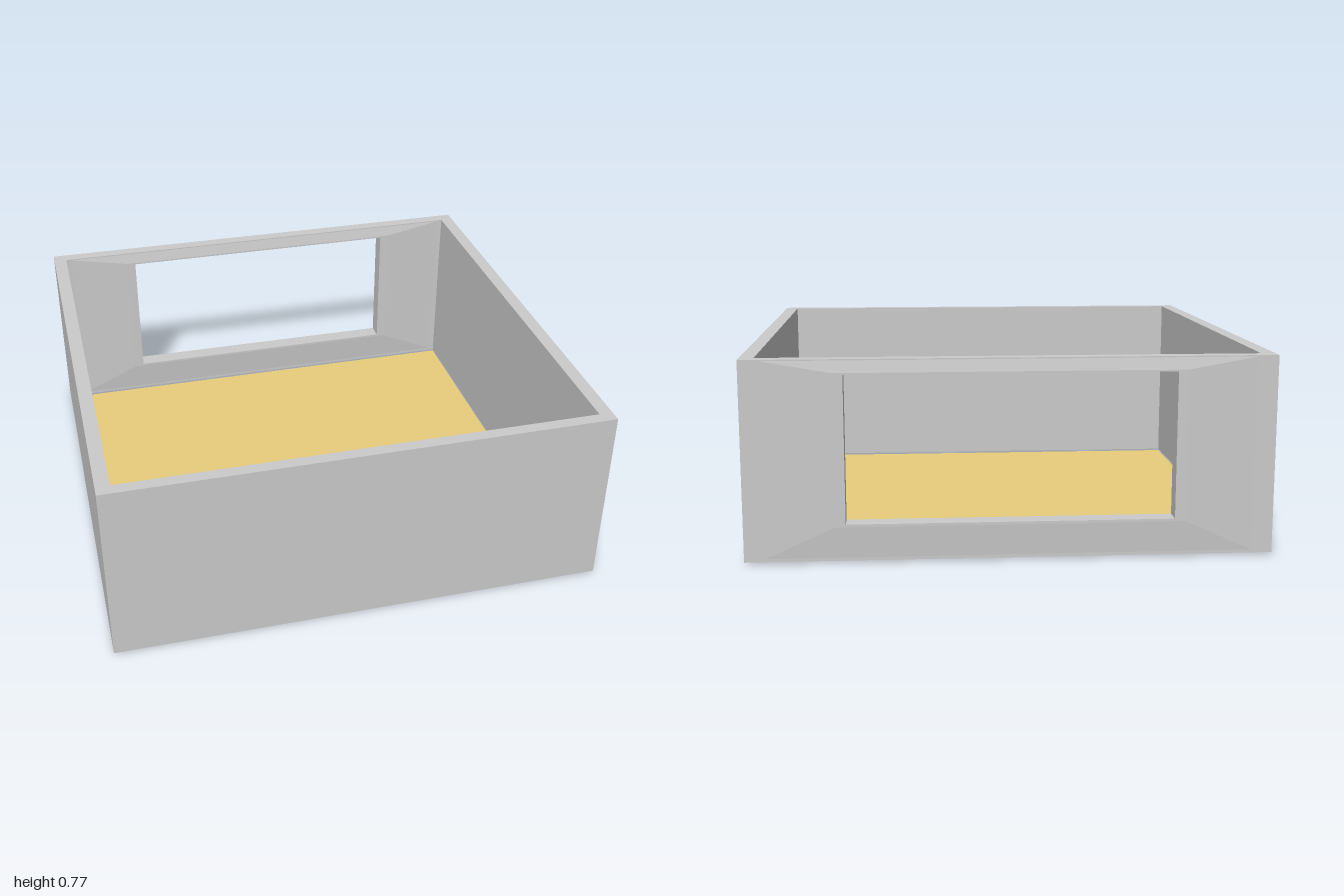
import * as THREE from 'three';

const BOTTOM = 0.008, TOP = 0.77;
const FRONT = 0.977, BACK_OUT = -0.967, BACK_IN = -0.915;

// Closed loft through rectangles [halfWidth, y0, y1, z], forming a frame around an opening
function frameGeometry(rings) {
  const corner = ([w, y0, y1, z], j) => [
    [-w, y0, z], [w, y0, z], [w, y1, z], [-w, y1, z],
  ][j % 4];
  const positions = [];
  rings.forEach((ring, i) => {
    const next = rings[(i + 1) % rings.length];
    for (let j = 0; j < 4; j++) {
      const a = corner(ring, j), b = corner(next, j);
      const c = corner(next, j + 1), d = corner(ring, j + 1);
      positions.push(...a, ...b, ...c, ...a, ...c, ...d);
    }
  });
  const geometry = new THREE.BufferGeometry();
  geometry.setAttribute('position', new THREE.Float32BufferAttribute(positions, 3));
  geometry.computeVertexNormals();
  return geometry;
}

export function createModel() {
  const group = new THREE.Group();
  const wallMaterial = new THREE.MeshStandardMaterial({ color: 0xcccccc, flatShading: true });

  const add = (name, geometry, material = wallMaterial) => {
    const mesh = new THREE.Mesh(geometry, material);
    mesh.name = name;
    group.add(mesh);
    return mesh;
  };
  const wall = (name, x0, x1, z0, z1) => {
    const mesh = add(name, new THREE.BoxGeometry(x1 - x0, TOP - BOTTOM, z1 - z0));
    mesh.position.set((x0 + x1) / 2, (TOP + BOTTOM) / 2, (z0 + z1) / 2);
  };

  // Solid walls
  wall('frontWall', -1, 1, 0.928, FRONT);
  wall('leftWall', 0.945, 1, BACK_IN, 0.928);
  wall('rightWall', -1, -0.945, BACK_IN, 0.928);

  // Back wall, slightly thicker around its window opening
  const face = (z, bulged) => [
    [1, BOTTOM, TOP, z],
    [0.92, 0.02, 0.765, z],
    [0.66, 0.14, 0.72, bulged],
    [0.62, 0.15, 0.713, bulged],
  ];
  const outside = face(BACK_OUT, -0.977);
  const inside = face(BACK_IN, -0.905).reverse();
  add('backWallWithWindow', frameGeometry([...outside, ...inside]));

  // Thin floor sheet
  const floorMaterial = new THREE.MeshStandardMaterial({ color: 0xe8cd7b, side: THREE.DoubleSide });
  const floor = add('floor', new THREE.PlaneGeometry(1.89, 0.928 - BACK_IN), floorMaterial);
  floor.rotation.x = -Math.PI / 2;
  floor.position.z = (0.928 + BACK_IN) / 2;

  return group;
}
